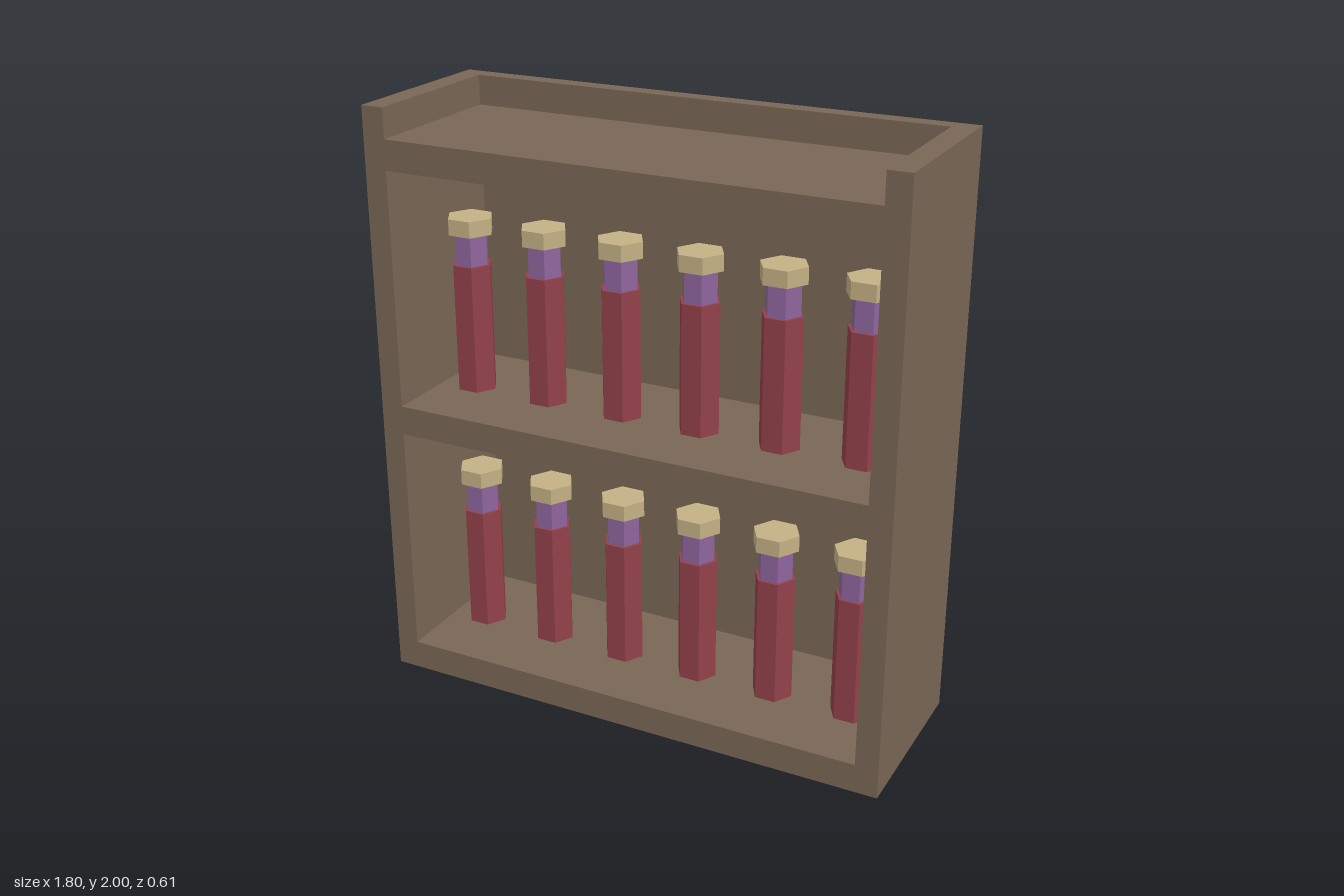
import * as THREE from 'three';

const W = 0.9, IN = 0.822, FRONT = 0.305, BACK = 0.245;

const mat = (name, color) => {
  const m = new THREE.MeshStandardMaterial({ color });
  m.name = name;
  return m;
};

const path = (Kind, pts) => new Kind(pts.map(([x, y]) => new THREE.Vector2(x, y)));

export function createModel() {
  const wood = mat('brown wood', 0x796656);
  const red = mat('dark red', 0x92404a);
  const purple = mat('purple', 0x8e659d);
  const tan = mat('pale tan', 0xc3b083);

  const model = new THREE.Group();
  model.name = 'bottleShelf';

  const add = (parent, name, geometry, material, x, y, z) => {
    const mesh = new THREE.Mesh(geometry, material);
    mesh.name = name;
    mesh.position.set(x, y, z);
    parent.add(mesh);
  };

  // Case: sides and three shelves in one outline, with two open bays and a tray on top
  const outline = path(THREE.Shape, [
    [-W, 0], [W, 0], [W, 2], [IN, 2], [IN, 1.9], [-IN, 1.9], [-IN, 2], [-W, 2],
  ]);
  for (const [low, high] of [[0.1, 0.9], [1, 1.8]]) {
    outline.holes.push(path(THREE.Path, [[-IN, low], [-IN, high], [IN, high], [IN, low]]));
  }
  const frame = new THREE.ExtrudeGeometry(outline, { depth: FRONT + BACK, bevelEnabled: false });
  add(model, 'caseFrame', frame, wood, 0, 0, -BACK);
  add(model, 'backPanel', new THREE.BoxGeometry(2 * W, 2, FRONT - BACK), wood,
    0, 1, -(FRONT + BACK) / 2);

  // Six-sided bottles: body, neck and cap, each with corners to the left and right
  const hex = (r, h) => new THREE.CylinderGeometry(r, r, h, 6, 1, false, Math.PI / 6).toNonIndexed();
  const parts = [
    ['body', 0.07, 0, 0.44, red],
    ['neck', 0.06, 0.44, 0.545, purple],
    ['cap', 0.08, 0.545, 0.6, tan],
  ].map(([name, r, low, high, material]) => {
    const geometry = hex(r, high - low);
    geometry.computeVertexNormals();
    return { name, geometry, material, y: (low + high) / 2 };
  });

  for (const shelf of [0.1, 1]) {
    for (let i = 0; i < 6; i++) {
      const bottle = new THREE.Group();
      bottle.name = 'bottle';
      bottle.position.set(-0.7 + i * 0.28, shelf, 0.03);
      for (const p of parts) add(bottle, p.name, p.geometry, p.material, 0, p.y, 0);
      model.add(bottle);
    }
  }
  return model;
}
